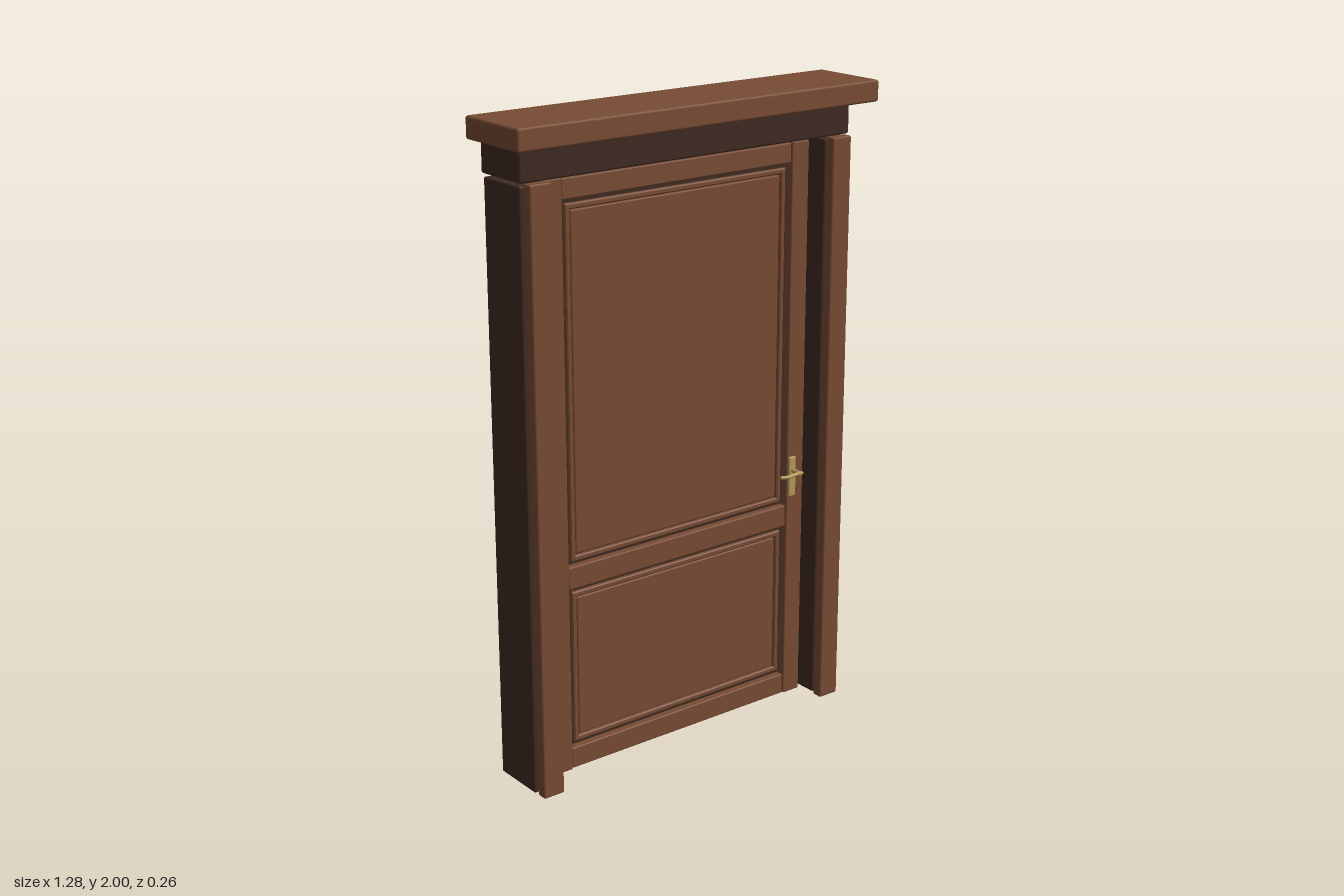
import * as THREE from 'three';
import { RoundedBoxGeometry } from 'three/addons/geometries/RoundedBoxGeometry.js';

const mat = (name, color, side = THREE.FrontSide) => {
  const m = new THREE.MeshStandardMaterial({ color });
  m.name = name;
  m.side = side;
  return m;
};

export function createModel() {
  const model = new THREE.Group();
  model.name = 'panelledDoor';
  const wood = mat('warmWood', 0x784c34);
  const darkWood = mat('darkWood', 0x402b22);
  const brass = mat('brass', 0xb59a58);
  const hingeBrown = mat('hingeBrown', 0x4f2f20);

  const add = (name, geometry, material, parent = model) => {
    const mesh = new THREE.Mesh(geometry, material);
    mesh.name = name;
    parent.add(mesh);
    return mesh;
  };

  // Box given by its limits, with softened edges of size r
  const block = (name, [x0, x1], [y0, y1], [z0, z1], material, r = 0.005, parent = model) => {
    const w = x1 - x0, h = y1 - y0, d = z1 - z0;
    const geo = r > 0 ? new RoundedBoxGeometry(w, h, d, 1, r) : new THREE.BoxGeometry(w, h, d);
    const mesh = add(name, geo, material, parent);
    mesh.position.set((x0 + x1) / 2, (y0 + y1) / 2, (z0 + z1) / 2);
    return mesh;
  };

  // Cornice and frieze over the opening
  block('cornice', [-0.64, 0.64], [1.935, 2], [-0.125, 0.13], wood, 0.007);
  block('frieze', [-0.59, 0.59], [1.835, 1.93], [-0.132, 0.058], darkWood, 0.007);

  // Jambs with a proud casing board on the front
  for (const [side, s] of [['left', 1], ['right', -1]]) {
    const span = (a, b) => (s > 0 ? [a, b] : [-b, -a]);
    block(side + 'Jamb', span(0.497, 0.59), [0.015, 1.828], [-0.12, 0.055], darkWood);
    block(side + 'Casing', span(0.505, 0.576), [0.003, 1.835], [0.05, 0.085], wood);
  }

  // Door leaf: dark core faced with stiles and rails
  const door = new THREE.Group();
  door.name = 'doorLeaf';
  model.add(door);
  block('doorCore', [-0.483, 0.478], [0.018, 1.82], [-0.1, -0.02], darkWood, 0, door);
  block('rightStile', [-0.485, -0.418], [0.016, 1.822], [-0.03, 0.005], wood, 0.004, door);
  block('leftStile', [0.415, 0.48], [0.016, 1.822], [-0.03, 0.005], wood, 0.004, door);
  for (const [name, y0, y1] of [['bottomRail', 0.018, 0.085], ['middleRail', 0.6, 0.67], ['topRail', 1.76, 1.82]]) {
    block(name, [-0.418, 0.412], [y0, y1], [-0.03, 0.003], wood, 0.004, door);
  }

  // Moulded panels: a bevelled frame around a raised field
  const rect = (Type, x0, x1, y0, y1) => {
    const p = new Type();
    p.moveTo(x0, y0);
    p.lineTo(x1, y0);
    p.lineTo(x1, y1);
    p.lineTo(x0, y1);
    p.closePath();
    return p;
  };
  for (const [name, y0, y1] of [['lowerPanel', 0.1, 0.585], ['upperPanel', 0.683, 1.745]]) {
    const shape = rect(THREE.Shape, -0.402, 0.398, y0, y1);
    shape.holes.push(rect(THREE.Path, -0.386, 0.382, y0 + 0.016, y1 - 0.016));
    const frame = new THREE.ExtrudeGeometry(shape, {
      depth: 0.01, bevelEnabled: true, bevelSize: 0.003, bevelOffset: -0.003, bevelThickness: 0.003, bevelSegments: 1,
    });
    add(name + 'Moulding', frame, wood, door).position.z = -0.018;
    block(name, [-0.382, 0.378], [y0 + 0.02, y1 - 0.02], [-0.025, -0.009], wood, 0.004, door);
  }

  // Hinges in the gap on the model's right
  for (const y of [0.415, 1.43]) {
    const hinge = add('hinge', new THREE.CylinderGeometry(0.009, 0.009, 0.095, 10), hingeBrown);
    hinge.position.set(-0.489, y, 0.008);
  }

  // Handle: back plate, spindle and lever
  const handle = new THREE.Group();
  handle.name = 'handle';
  model.add(handle);
  block('handlePlate', [0.418, 0.445], [0.7, 0.83], [0.003, 0.013], brass, 0.003, handle);
  const spindle = add('handleSpindle', new THREE.CylinderGeometry(0.007, 0.007, 0.04, 12), brass, handle);
  spindle.rotation.x = Math.PI / 2;
  spindle.position.set(0.432, 0.785, 0.03);
  const path = new THREE.CatmullRomCurve3([
    new THREE.Vector3(0.438, 0.785, 0.047),
    new THREE.Vector3(0.415, 0.787, 0.05),
    new THREE.Vector3(0.385, 0.784, 0.049),
    new THREE.Vector3(0.36, 0.786, 0.045),
  ]);
  add('handleLever', new THREE.TubeGeometry(path, 16, 0.006, 8), brass, handle);
  for (const t of [0, 1]) {
    add('leverEnd', new THREE.SphereGeometry(0.0065, 10, 8), brass, handle).position.copy(path.getPoint(t));
  }

  return model;
}
